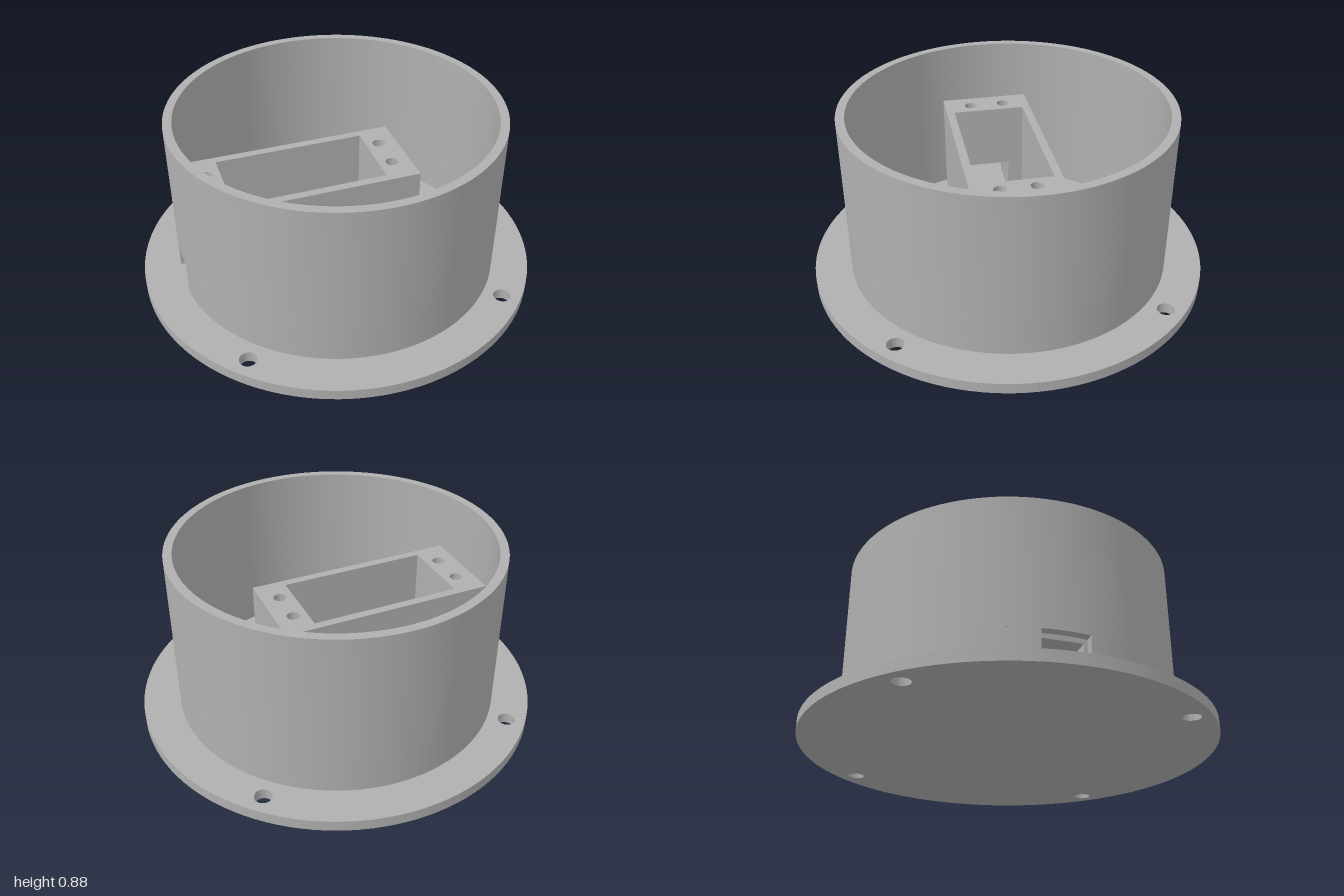
import * as THREE from 'three';
import { toCreasedNormals } from 'three/addons/utils/BufferGeometryUtils.js';

const FLANGE_TOP = 0.055, NOTCH_TOP = 0.24, BOX_TOP = 0.583, WALL_TOP = 0.885;
const OUTER = 0.815, INNER = 0.772, NOTCH = 0.11; // wall radii, half width of the cable notch

export function createModel() {
  const group = new THREE.Group();
  const grey = new THREE.MeshStandardMaterial({ color: 0xb0b0b0 });
  grey.name = 'grey';

  // Stand a flat outline up between two heights
  const slab = (name, shape, y0, y1) => {
    let geo = new THREE.ExtrudeGeometry(shape, { depth: y1 - y0, bevelEnabled: false, curveSegments: 60 });
    geo.rotateX(-Math.PI / 2);
    geo.translate(0, y0, 0);
    geo = toCreasedNormals(geo, 0.5);
    const mesh = new THREE.Mesh(geo, grey);
    mesh.name = name;
    group.add(mesh);
  };
  const disc = (r) => new THREE.Shape().absarc(0, 0, r, 0, Math.PI * 2, false);
  const hole = (x, y, r) => new THREE.Path().absarc(x, y, r, 0, Math.PI * 2, true);
  const polygon = (pts) => new THREE.Shape(pts.map(([x, y]) => new THREE.Vector2(x, y)));
  const rect = (x0, x1, h) => polygon([[x0, -h], [x1, -h], [x1, h], [x0, h]]);

  // Round base flange with four mounting holes
  const flange = disc(1);
  for (const sx of [-1, 1]) for (const sy of [-1, 1]) flange.holes.push(hole(sx * 0.643, sy * 0.643, 0.042));
  slab('baseFlange', flange, 0, FLANGE_TOP);

  // Cylindrical wall: notched lower ring, full upper ring
  const a = Math.asin(NOTCH / OUTER), b = Math.asin(NOTCH / INNER);
  const notched = new THREE.Shape();
  notched.absarc(0, 0, OUTER, -Math.PI + a, Math.PI - a, false);
  notched.absarc(0, 0, INNER, Math.PI - b, -Math.PI + b, true);
  notched.closePath();
  slab('lowerWall', notched, FLANGE_TOP, NOTCH_TOP);
  const ring = disc(OUTER);
  ring.holes.push(hole(0, 0, INNER));
  slab('upperWall', ring, NOTCH_TOP, WALL_TOP);

  // Mounting box: cable channel below, pocket through it, screw holes on top
  const X0 = -0.725, X1 = 0.355, H = 0.232, P0 = -0.565, P1 = 0.195, PH = 0.19;
  const lower = polygon([
    [X0, -H], [X1, -H], [X1, H], [X0, H], [X0, NOTCH], [P0, NOTCH],
    [P0, PH], [P1, PH], [P1, -PH], [P0, -PH], [P0, -NOTCH], [X0, -NOTCH],
  ]);
  slab('boxBase', lower, FLANGE_TOP, NOTCH_TOP);
  const middle = rect(X0, X1, H), upper = rect(X0, X1, H);
  middle.holes.push(rect(P0, P1, PH));
  upper.holes.push(rect(P0, P1, PH));
  for (const x of [-0.635, 0.263]) for (const y of [-0.09, 0.09]) upper.holes.push(hole(x, y, 0.032));
  slab('boxMiddle', middle, NOTCH_TOP, 0.3);
  slab('boxTop', upper, 0.3, BOX_TOP);

  return group;
}
